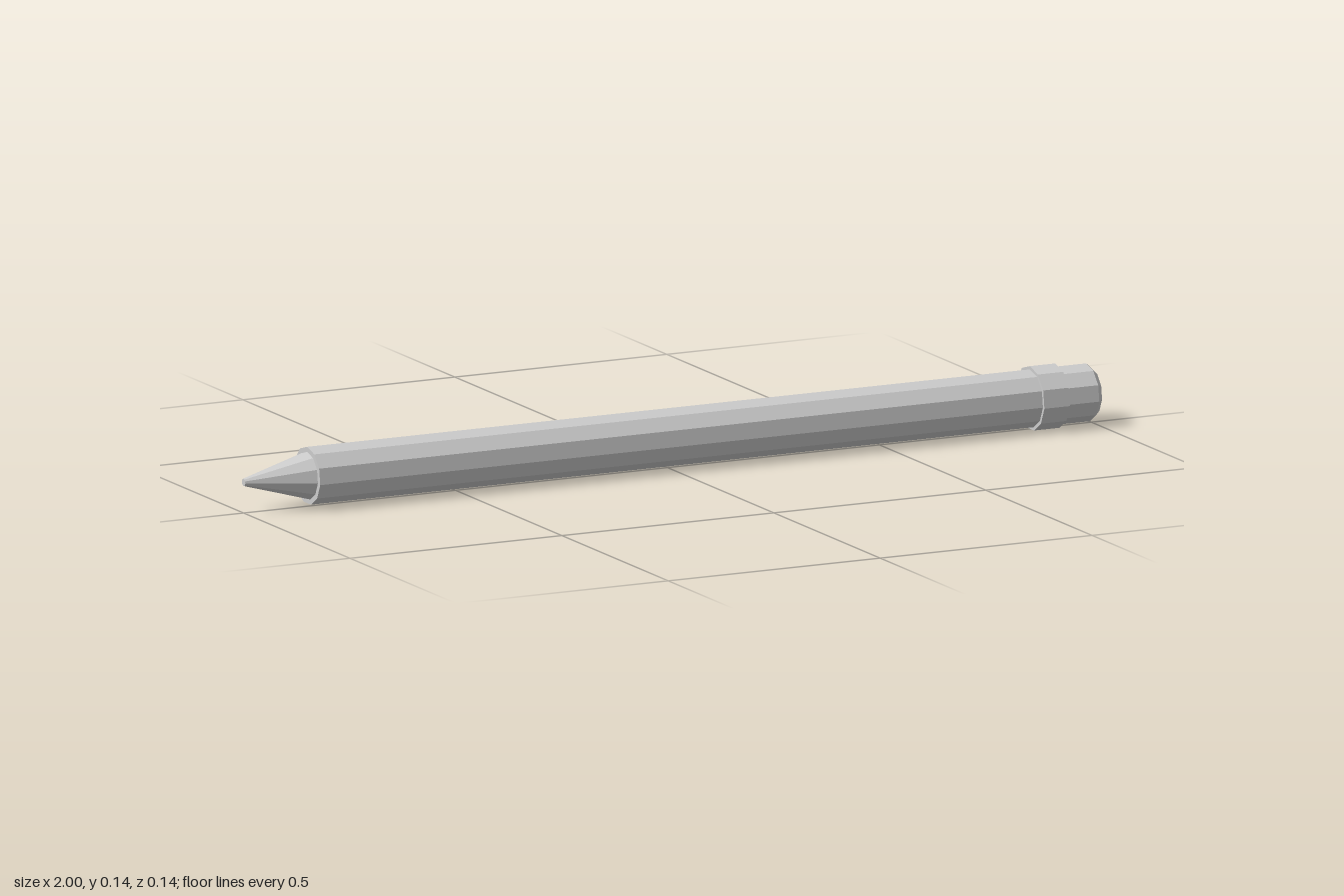
import * as THREE from 'three';

const SIDES = 11;
const RADIUS = 0.069;
const AXIS_Y = RADIUS * Math.cos(Math.PI / SIDES);

export function createModel() {
  const group = new THREE.Group();
  group.name = 'pencil';
  const grey = new THREE.MeshStandardMaterial({ color: 0xcccccc });
  grey.name = 'light grey';

  // Faceted section along x, from x0 (radius r0) to x1 (radius r1), one corner pointing up
  function section(name, x0, x1, r0, r1, open = false) {
    const indexed = new THREE.CylinderGeometry(r1, r0, x1 - x0, SIDES, 1, open, -Math.PI / 2);
    const geometry = indexed.toNonIndexed();
    geometry.computeVertexNormals();
    geometry.rotateZ(-Math.PI / 2);
    const mesh = new THREE.Mesh(geometry, grey);
    mesh.name = name;
    mesh.position.set((x0 + x1) / 2, AXIS_Y, 0);
    group.add(mesh);
  }

  // Sharpened point, slightly narrower than the barrel
  section('tip', -1, -0.85, 0.008, 0.051);
  // Long barrel
  section('barrel', -0.85, 0.855, 0.062, 0.062);
  // Raised band
  section('band', 0.855, 0.915, RADIUS, RADIUS);
  // End cap with a bevelled rim
  section('endCap', 0.915, 0.988, 0.062, 0.062);
  section('endCapBevel', 0.988, 1, 0.062, 0.051);

  return group;
}
